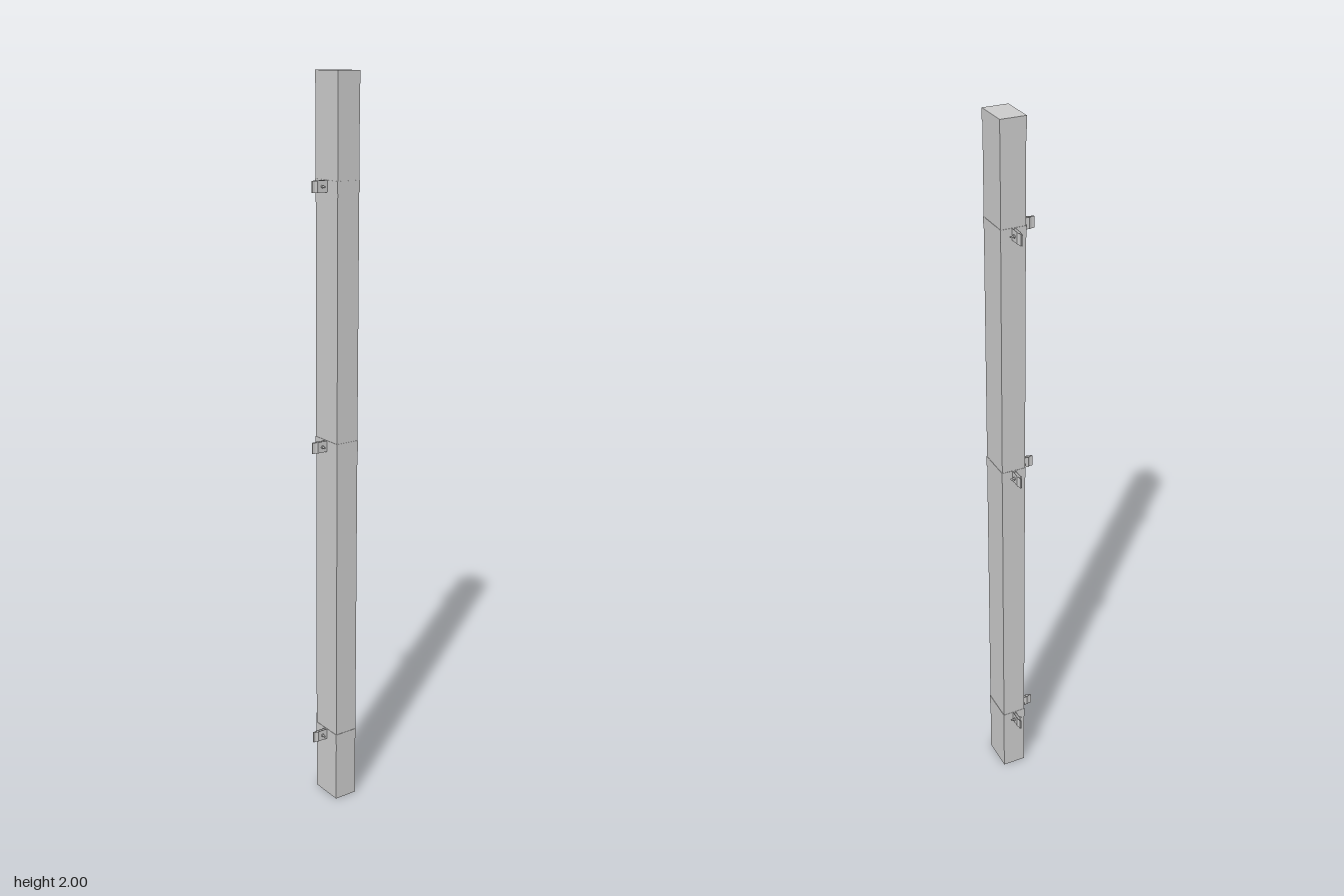
import * as THREE from 'three';

// Post footprint
const X0 = -0.0115, X1 = 0.055, Z0 = -0.0275, Z1 = 0.0685;
const XC = 0.0215, ZC = 0.0205;
const THICK = 0.001, BAND_H = 0.03;

// Clamp flange profile: [distance out from the post, half gap]
const FLANGE = [[0, 0.0033], [0.026, 0.0033], [0.031, 0.0042], [0.037, 0.0014], [0.0452, 0.0012]];

const material = new THREE.MeshStandardMaterial({ color: 0xcccccc, flatShading: true });

function addMesh(parent, name, geometry, x = 0, y = 0, z = 0) {
  const mesh = new THREE.Mesh(geometry, material);
  mesh.name = name;
  mesh.position.set(x, y, z);
  parent.add(mesh);
  return mesh;
}

// Bent metal strip: path of [x, z] points, thickened to its left, with mitred corners
function stripGeometry(path) {
  const pts = path.map(([x, z]) => new THREE.Vector2(x, z));
  const normals = pts.slice(1).map((p, i) => {
    const d = p.clone().sub(pts[i]).normalize();
    return new THREE.Vector2(-d.y, d.x);
  });
  const outer = pts.map((p, i) => {
    const a = normals[Math.max(i - 1, 0)], b = normals[Math.min(i, normals.length - 1)];
    const miter = a.clone().add(b);
    return p.clone().addScaledVector(miter, THICK / (1 + a.dot(b)));
  });
  const outline = [...pts, ...outer.reverse()].map(p => new THREE.Vector2(p.x, -p.y));
  const geometry = new THREE.ExtrudeGeometry(new THREE.Shape(outline), { depth: BAND_H, bevelEnabled: false });
  return geometry.rotateX(-Math.PI / 2).translate(0, -BAND_H / 2, 0);
}

// Bolt along x with a hexagonal head and nut
function createBolt(name) {
  const bolt = new THREE.Group();
  bolt.name = name;
  const rod = new THREE.CylinderGeometry(0.0025, 0.0025, 0.032, 12).rotateZ(Math.PI / 2);
  addMesh(bolt, 'boltShank', rod);
  for (const side of [-1, 1]) {
    const hex = new THREE.CylinderGeometry(0.0045, 0.0045, 0.0035, 6).rotateZ(Math.PI / 2);
    addMesh(bolt, side < 0 ? 'boltHead' : 'nut', hex, side * 0.006, 0, 0);
  }
  return bolt;
}

// Two-piece clamp with pinched flanges on the side and the back
function createClamp(y) {
  const clamp = new THREE.Group();
  clamp.name = 'clamp';
  clamp.position.y = y;
  const sideFlange = s => FLANGE.map(([d, h]) => [X0 - d, ZC + s * h]);
  const backFlange = s => FLANGE.map(([d, h]) => [XC + s * h, Z0 - d]);

  addMesh(clamp, 'clampFrontHalf', stripGeometry([
    ...sideFlange(1).reverse(), [X0, Z1], [X1, Z1], [X1, Z0], ...backFlange(1)]));
  addMesh(clamp, 'clampBackHalf', stripGeometry([
    ...backFlange(-1).reverse(), [X0, Z0], ...sideFlange(-1)]));

  const backBolt = createBolt('backBolt');
  backBolt.position.set(XC, 0, -0.043);
  const sideBolt = createBolt('sideBolt');
  sideBolt.position.set(-0.028, 0, ZC);
  sideBolt.rotation.y = Math.PI / 2;
  clamp.add(backBolt, sideBolt);
  return clamp;
}

export function createModel() {
  const model = new THREE.Group();
  model.name = 'fencePost';
  const w = X1 - X0, d = Z1 - Z0, cx = (X0 + X1) / 2, cz = (Z0 + Z1) / 2;

  addMesh(model, 'post', new THREE.BoxGeometry(w, 1.998, d), cx, 0.999, cz);
  addMesh(model, 'cap', new THREE.BoxGeometry(w + 2 * THICK, 0.032, d + 2 * THICK), cx, 1.984, cz);
  for (const y of [0.188, 1.04, 1.72]) model.add(createClamp(y));
  return model;
}
